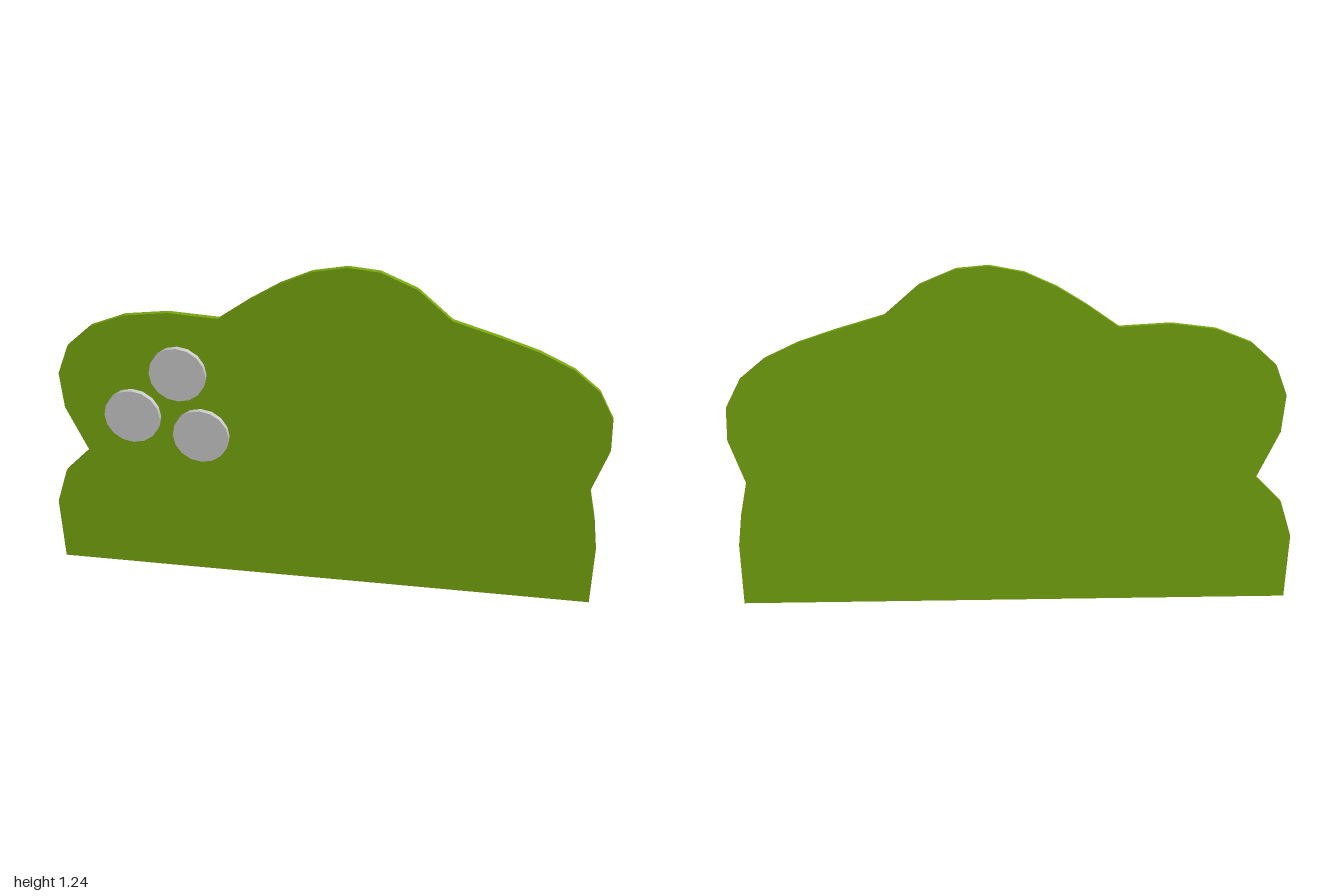
import * as THREE from 'three';

export function createModel() {
  const group = new THREE.Group();
  const green = new THREE.MeshStandardMaterial({ color: 0x78a80f });
  green.name = 'leaf green';
  const grey = new THREE.MeshStandardMaterial({ color: 0xcccccc });
  grey.name = 'light grey';

  // Bush silhouette, anticlockwise from the bottom left corner
  const outline = [
    [-0.99, 0], [0.98, 0], [0.985, 0.23], [0.97, 0.35], [0.945, 0.47],
    [1, 0.63], [0.997, 0.75], [0.945, 0.85], [0.855, 0.925], [0.735, 0.982],
    [0.6, 1.027], [0.44, 1.075], [0.32, 1.18], [0.195, 1.233], [0.085, 1.243],
    [-0.035, 1.22], [-0.145, 1.17], [-0.25, 1.105], [-0.36, 1.027],
    [-0.54, 1.037], [-0.695, 1.017], [-0.82, 0.967], [-0.91, 0.885],
    [-0.952, 0.775], [-0.94, 0.64], [-0.862, 0.47], [-0.957, 0.375], [-1, 0.24],
  ];
  const shape = new THREE.Shape(outline.map(([x, y]) => new THREE.Vector2(x, y)));
  const bushGeometry = new THREE.ExtrudeGeometry(shape, { depth: 0.02, bevelEnabled: false });
  bushGeometry.translate(0, 0, -0.02);
  const bush = new THREE.Mesh(bushGeometry, green);
  bush.name = 'bushPanel';
  group.add(bush);

  // Three round flowers on the front of the panel
  const discGeometry = new THREE.CylinderGeometry(0.102, 0.102, 0.02, 16);
  discGeometry.rotateX(Math.PI / 2);
  [[-0.512, 0.81], [-0.685, 0.632], [-0.437, 0.572]].forEach(([x, y], i) => {
    const disc = new THREE.Mesh(discGeometry, grey);
    disc.name = `flowerDisc${i + 1}`;
    disc.position.set(x, y, 0.01);
    group.add(disc);
  });

  return group;
}
